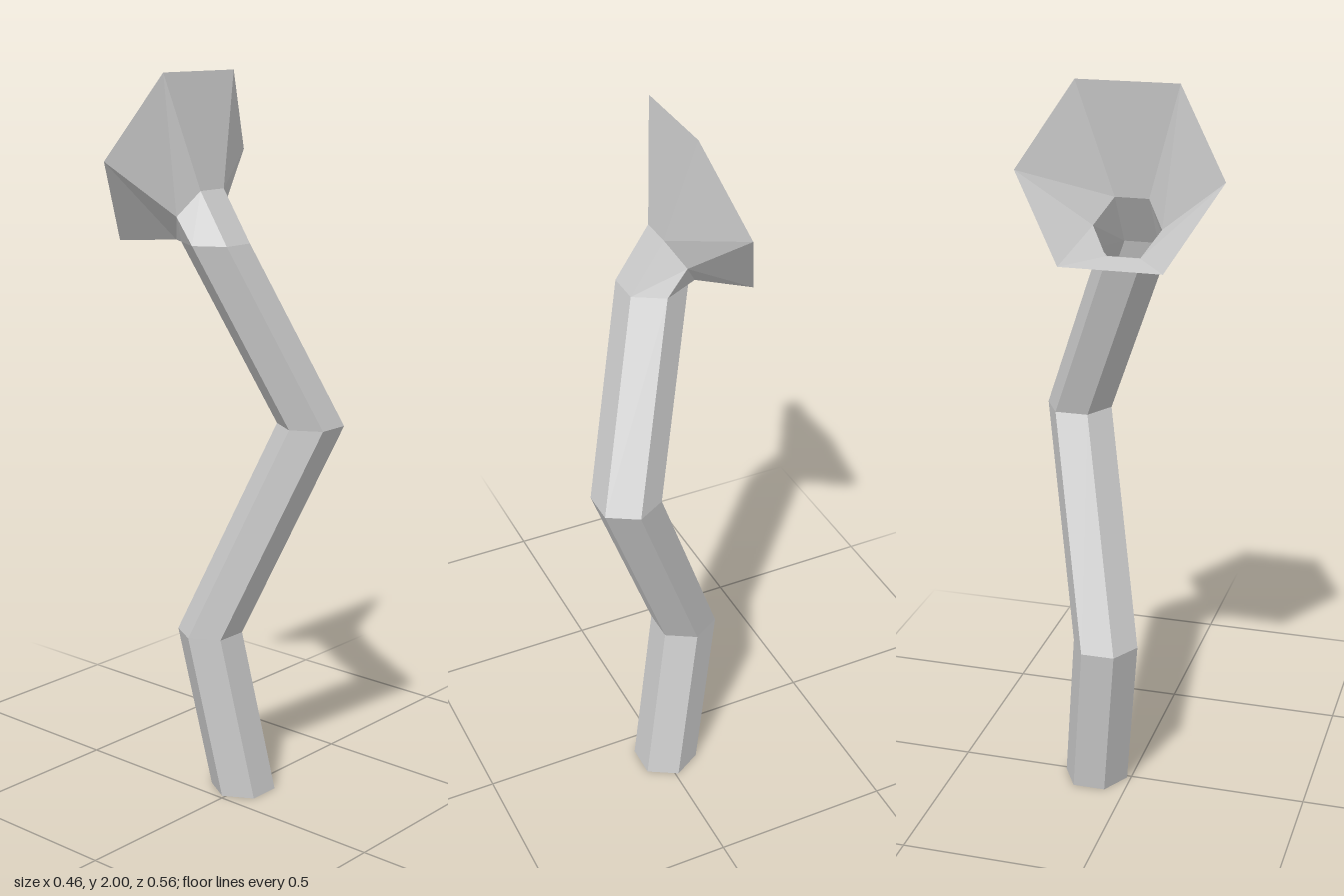
import * as THREE from 'three';

const SIDES = 6;
const C30 = Math.cos(Math.PI / 6);

// Hexagonal ring: centre, half-extent vector (hx, hy) across its flats, radius along z
function ring([x, y, z, hx, hy, rz]) {
  return Array.from({ length: SIDES }, (_, k) => {
    const a = Math.PI / 6 + (k * Math.PI) / 3;
    const s = Math.cos(a) / C30;
    return [x + hx * s, y + hy * s, z + rz * Math.sin(a)];
  });
}

// Faceted skin through successive rings, optionally closed at the first one
function loft(name, sections, capStart) {
  const rings = sections.map(ring);
  const pos = [];
  const tri = (...pts) => pts.forEach((p) => pos.push(...p));
  for (let i = 0; i + 1 < rings.length; i++) {
    for (let k = 0; k < SIDES; k++) {
      const n = (k + 1) % SIDES;
      const a = rings[i][k], b = rings[i][n], c = rings[i + 1][k], d = rings[i + 1][n];
      tri(a, c, b);
      tri(b, c, d);
    }
  }
  if (capStart) {
    for (let k = 1; k + 1 < SIDES; k++) tri(rings[0][0], rings[0][k], rings[0][k + 1]);
  }
  const geometry = new THREE.BufferGeometry();
  geometry.setAttribute('position', new THREE.Float32BufferAttribute(pos, 3));
  geometry.computeVertexNormals();
  const material = new THREE.MeshStandardMaterial({
    color: 0xcccccc, flatShading: true, side: THREE.DoubleSide,
  });
  const mesh = new THREE.Mesh(geometry, material);
  mesh.name = name;
  return mesh;
}

export function createModel() {
  const group = new THREE.Group();
  group.name = 'bentPipe';

  const neck = [-0.069, 1.635, 0.008, 0.043, 0.066, 0.09];

  // Crooked hexagonal stem, ending in a short bend
  group.add(loft('stem', [
    [-0.009, 0, -0.102, 0.079, 0, 0.091],
    [-0.088, 0.466, -0.05, 0.079, 0, 0.091],
    [0.15, 1.07, -0.19, 0.079, 0, 0.091],
    [-0.015, 1.565, 0.008, 0.079, 0, 0.091],
    neck,
  ], true));

  // Open flared bell, facing sideways
  group.add(loft('bell', [
    neck,
    [-0.15, 1.783, 0.008, 0.08, 0.217, 0.269],
  ], false));

  return group;
}
